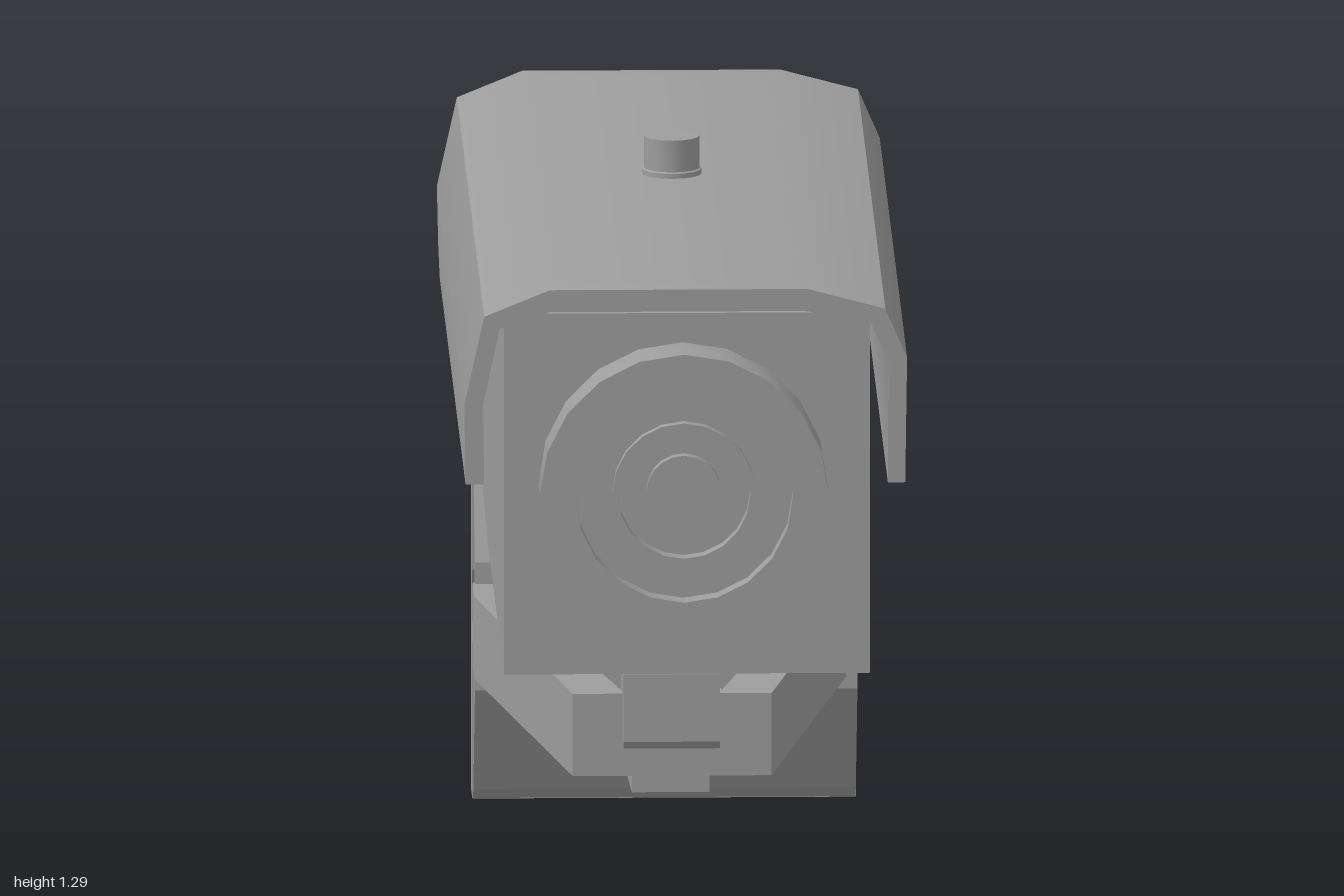
import * as THREE from 'three';
import { toCreasedNormals } from 'three/addons/utils/BufferGeometryUtils.js';

const material = new THREE.MeshStandardMaterial({ color: 0x9d9d9d });

function makeShape(points) {
  return new THREE.Shape(points.map(([a, b]) => new THREE.Vector2(a, b)));
}

function extrude(shape, depth, steps = 1) {
  return new THREE.ExtrudeGeometry(shape, { depth, steps, bevelEnabled: false });
}

// Side profile given as [z, y], extruded across x from x0 to x1
function sideExtrude(points, x0, x1, hole) {
  const shape = makeShape(points);
  if (hole) shape.holes.push(makeShape(hole));
  return extrude(shape, x1 - x0).rotateY(-Math.PI / 2).translate(x1, 0, 0);
}

// Plan outline given as [x, z], extruded between two heights
function planExtrude(points, y0, y1) {
  return extrude(makeShape(points), y1 - y0).rotateX(Math.PI / 2).translate(0, y1, 0);
}

function box(x0, x1, y0, y1, z0, z1) {
  return new THREE.BoxGeometry(x1 - x0, y1 - y0, z1 - z0)
    .translate((x0 + x1) / 2, (y0 + y1) / 2, (z0 + z1) / 2);
}

function lathe(points, segments) {
  const geometry = new THREE.LatheGeometry(points.map(([r, h]) => new THREE.Vector2(r, h)), segments);
  return toCreasedNormals(geometry, 0.5);
}

export function createModel() {
  const model = new THREE.Group();
  const add = (name, geometry, parent = model) => {
    const mesh = new THREE.Mesh(geometry, material);
    mesh.name = name;
    parent.add(mesh);
  };
  const addGroup = (name) => {
    const group = new THREE.Group();
    group.name = name;
    model.add(group);
    return group;
  };

  // Camera housing with a softly swept-up rear
  add('housing', toCreasedNormals(sideExtrude([
    [0.89, 0.575], [0.89, 1.167], [-0.65, 1.167], [-0.64, 0.92],
    [-0.61, 0.77], [-0.5, 0.605], [-0.15, 0.575],
  ], -0.29, 0.298), 0.5));

  // Bent sun hood, its lower edges rising at the very back
  const hood = extrude(makeShape([
    [-0.355, 0.91], [-0.357, 1.04], [-0.325, 1.185], [-0.22, 1.228],
    [0.195, 1.228], [0.32, 1.195], [0.355, 1.115], [0.352, 0.91],
    [0.324, 0.91], [0.325, 1.11], [0.295, 1.175], [0.19, 1.192],
    [-0.22, 1.192], [-0.3, 1.165], [-0.327, 1.04], [-0.325, 0.91],
  ]), 1.75, 35).translate(0, 0, -0.75);
  const position = hood.attributes.position;
  for (let i = 0; i < position.count; i++) {
    const rise = Math.max(0, -0.65 - position.getZ(i)) * 0.35;
    if (position.getY(i) < 0.95) position.setY(i, position.getY(i) + rise);
  }
  add('sunHood', toCreasedNormals(hood, 0.5));

  // Knob on top of the hood
  add('hoodKnob', lathe([
    [0, 1.2], [0.048, 1.2], [0.048, 1.236], [0.045, 1.238], [0.045, 1.29], [0, 1.29],
  ], 16).translate(0, 0, 0.07));

  // Stepped lens with concentric rings
  add('lens', lathe([
    [0.232, 0.88], [0.232, 0.99], [0.175, 0.99], [0.175, 0.95], [0.115, 0.95],
    [0.115, 0.97], [0.107, 0.97], [0.107, 0.94], [0.06, 0.94], [0.06, 0.96], [0, 0.96],
  ], 20).rotateX(Math.PI / 2).translate(-0.003, 0.887, 0));

  // Swivel below the housing: plate, front web and two cheeks
  const swivel = addGroup('swivel');
  add('swivelPlate', box(-0.12, 0.11, 0.53, 0.576, 0.005, 0.2), swivel);
  add('swivelWeb', sideExtrude([
    [0.16, 0.53], [0.16, 0.49], [0.17, 0.425], [0.17, 0.315], [0.16, 0.302],
    [0.13, 0.302], [0.125, 0.53],
  ], -0.08, 0.075), swivel);
  for (const x of [-0.08, 0.05]) {
    add('swivelCheek', sideExtrude([
      [0.15, 0.53], [0.15, 0.305], [0.05, 0.305], [0.015, 0.38], [0.015, 0.53],
    ], x, x + 0.025), swivel);
  }

  // Two side arms spreading towards the wall, joined at the front
  const arms = addGroup('supportArms');
  for (const side of [-1, 1]) {
    add('sideArm', planExtrude([
      [0.075, 0.1], [0.16, 0.1], [0.299, -0.68], [0.299, -0.79], [0.247, -0.79], [0.247, -0.72],
    ].map(([x, z]) => [x * side, z]), 0.245, 0.38), arms);
  }
  add('armBridge', box(-0.08, 0.08, 0.245, 0.38, 0.06, 0.1), arms);

  // Central braces above and below the arms
  add('upperBrace', sideExtrude([
    [0.015, 0.38], [0.015, 0.415], [-0.6, 0.485], [-0.82, 0.492],
    [-0.84, 0.462], [-0.62, 0.458], [-0.1, 0.38],
  ], -0.065, 0.06), arms);
  add('lowerBrace', sideExtrude([
    [0.1, 0.25], [0.1, 0.218], [-0.6, 0.142], [-0.82, 0.13],
    [-0.84, 0.155], [-0.62, 0.166], [0, 0.25],
  ], -0.065, 0.06), arms);

  // Wall bracket: hollow trapezoid with a horizontal rib in its back panel
  const bracket = addGroup('wallBracket');
  add('bracketShell', sideExtrude([
    [-0.985, 0.003], [-0.905, 0.003], [-0.885, 0.022], [-0.78, 0.205], [-0.78, 0.415],
    [-0.885, 0.598], [-0.905, 0.617], [-0.985, 0.617],
    [-0.985, 0.38], [-0.998, 0.355], [-0.998, 0.285], [-0.985, 0.26],
  ], -0.295, 0.32, [
    [-0.92, 0.03], [-0.9, 0.03], [-0.805, 0.21], [-0.805, 0.41], [-0.9, 0.59],
    [-0.92, 0.59], [-0.92, 0.375], [-0.942, 0.345], [-0.942, 0.285], [-0.92, 0.255],
  ]), bracket);

  // Shallow raised rim around the back panel
  add('topRim', box(-0.295, 0.32, 0.608, 0.62, -1, -0.915), bracket);
  add('bottomRim', box(-0.295, 0.32, 0, 0.012, -1, -0.915), bracket);
  for (const x of [-0.296, 0.301]) {
    add('sideRim', sideExtrude([
      [-1, 0], [-0.921, 0], [-0.921, 0.255], [-0.943, 0.285], [-0.943, 0.345],
      [-0.921, 0.375], [-0.921, 0.62], [-1, 0.62],
    ], x, x + 0.02), bracket);
  }

  return model;
}
